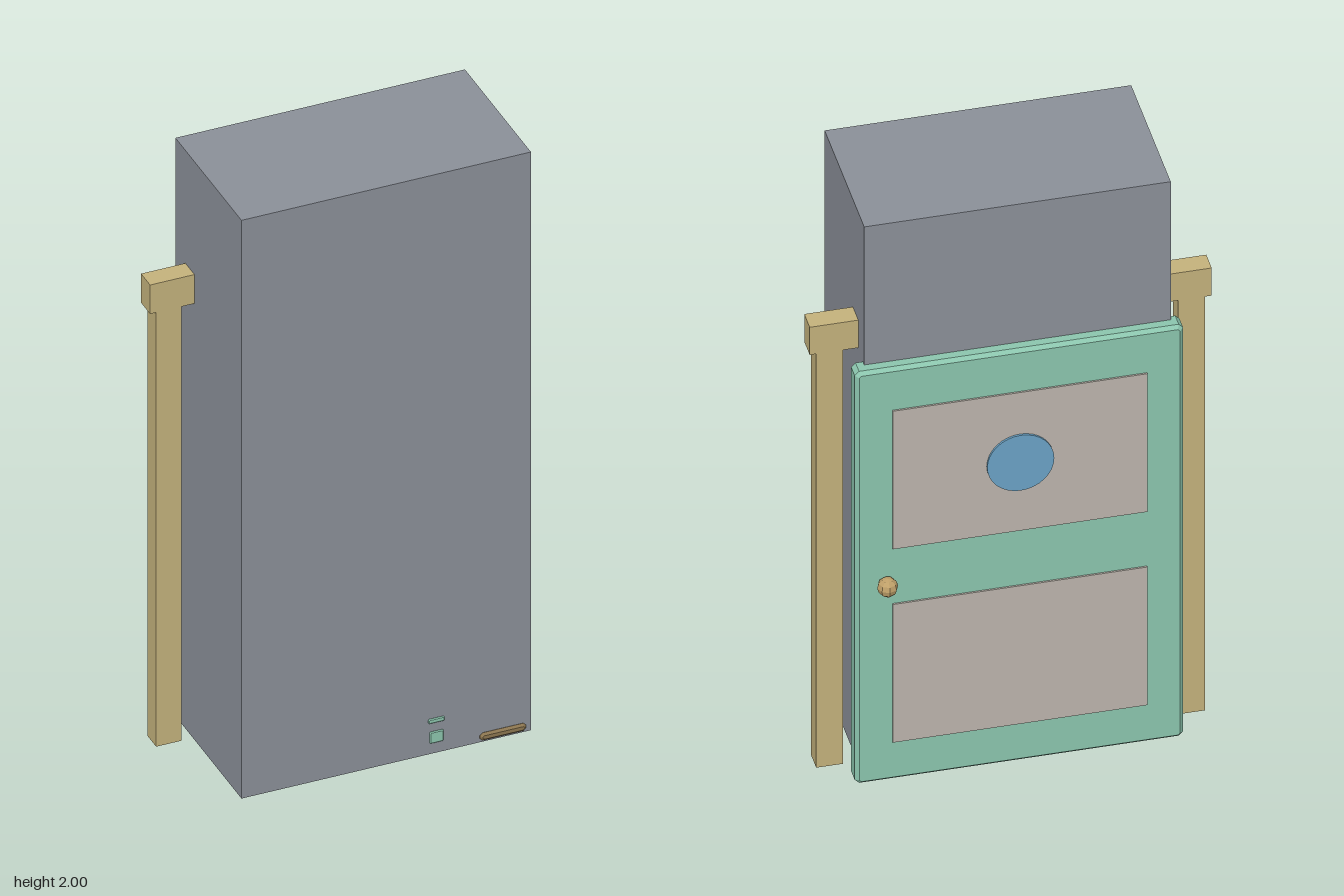
import * as THREE from 'three';

const mat = (name, color, flatShading = false) => {
  const m = new THREE.MeshStandardMaterial({ color, flatShading });
  m.name = name;
  return m;
};

export function createModel() {
  const group = new THREE.Group();
  group.name = 'doorBlock';
  const slate = mat('slate grey', 0x8b9099);
  const wood = mat('pale wood', 0xc4b27c);
  const mint = mat('mint green', 0x8cc6ae, true);
  const panelMat = mat('warm grey', 0xbdb5ad);
  const glass = mat('window blue', 0x6ba3c6);
  const brass = mat('brass', 0xbfa069, true);
  const brown = mat('brown', 0x8c7650, true);

  const add = (name, geometry, material, x, y, z) => {
    const mesh = new THREE.Mesh(geometry, material);
    mesh.name = name;
    mesh.position.set(x, y, z);
    group.add(mesh);
    return mesh;
  };
  // Box given by its minimum and maximum corners
  const box = (name, material, x0, x1, y0, y1, z0, z1) =>
    add(name, new THREE.BoxGeometry(x1 - x0, y1 - y0, z1 - z0), material,
      (x0 + x1) / 2, (y0 + y1) / 2, (z0 + z1) / 2);
  // Slab with chamfered corners and edges, centred on the origin
  const chamferedSlab = (w, h, d, c) => {
    const a = w / 2 - c, b = h / 2 - c, k = c * 0.6;
    const shape = new THREE.Shape([
      [-a + k, -b], [a - k, -b], [a, -b + k], [a, b - k],
      [a - k, b], [-a + k, b], [-a, b - k], [-a, -b + k],
    ].map(([x, y]) => new THREE.Vector2(x, y)));
    return new THREE.ExtrudeGeometry(shape, {
      depth: d - 2 * c, bevelEnabled: true, bevelSize: c, bevelThickness: c, bevelSegments: 1,
    }).translate(0, 0, -d / 2 + c);
  };

  // Main block
  box('block', slate, -0.46, 0.455, 0.004, 2, -0.2, 0.28);

  // Door frame: lintel and two posts
  box('lintel', wood, -0.6, 0.6, 1.51, 1.61, -0.128, -0.062);
  for (const s of [-1, 1]) {
    box('post', wood, s * 0.54 - 0.04, s * 0.54 + 0.04, 0.01, 1.51, -0.126, -0.064);
  }

  // Door with two raised panels and a round window
  add('door', chamferedSlab(0.98, 1.49, 0.065, 0.011), mint, 0, 0.755, -0.205);
  for (const y of [0.4, 1.1]) {
    box('doorPanel', panelMat, -0.38, 0.38, y - 0.25, y + 0.25, -0.243, -0.234);
  }
  add('window', new THREE.CylinderGeometry(0.1, 0.1, 0.009, 32).rotateX(Math.PI / 2),
    glass, 0, 1.1, -0.2455);
  add('knob', new THREE.SphereGeometry(0.031, 8, 6), brass, 0.4, 0.73, -0.26);

  // Small trims at the foot of the front
  add('footBar', chamferedSlab(0.146, 0.026, 0.02, 0.007), brown, 0.366, 0.022, 0.278);
  add('frontTab', chamferedSlab(0.045, 0.04, 0.012, 0.003), mint, 0.156, 0.06, 0.278);
  add('frontStrip', chamferedSlab(0.052, 0.016, 0.012, 0.003), mint, 0.156, 0.117, 0.278);

  return group;
}
